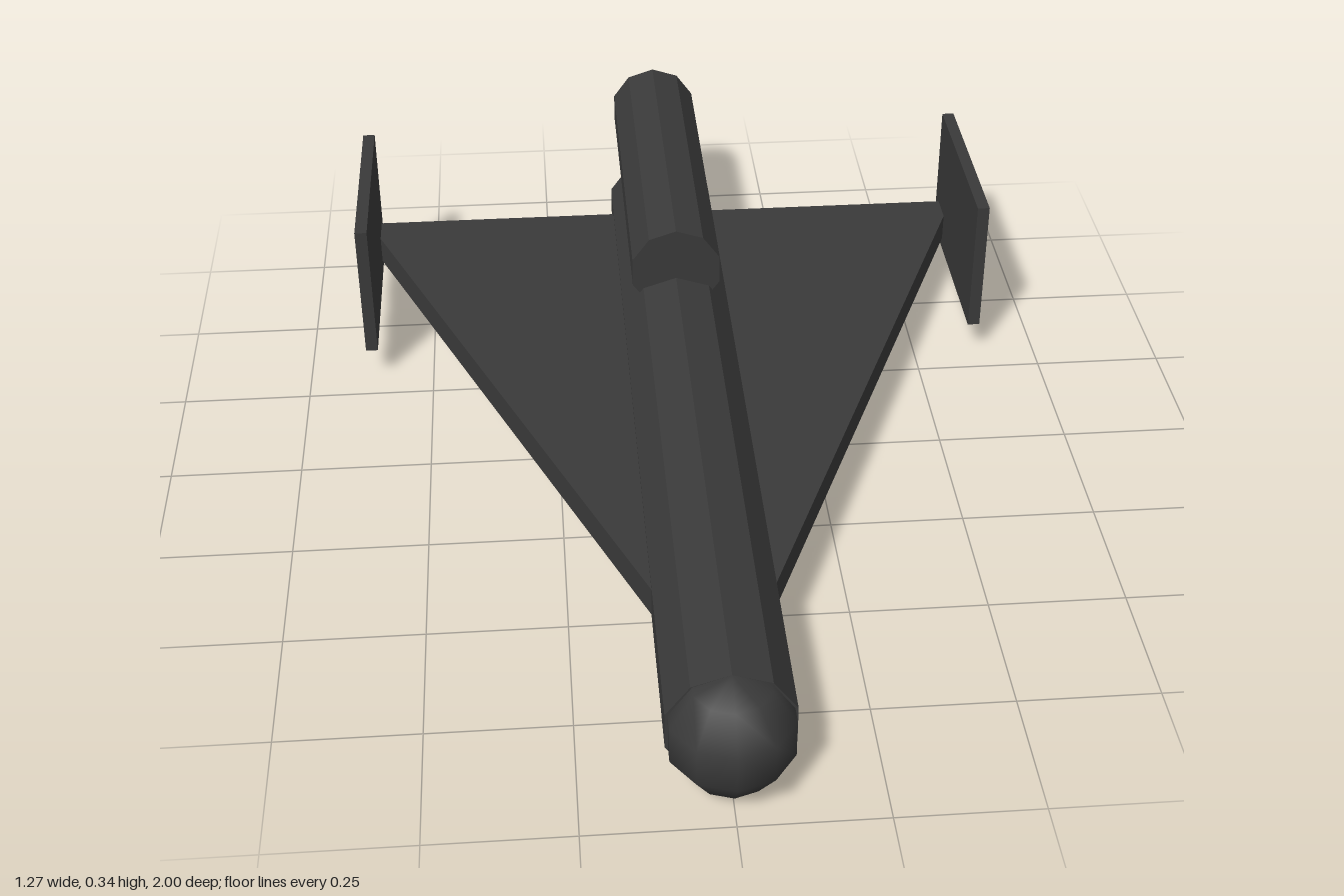
import * as THREE from 'three';

export function createModel() {
  const group = new THREE.Group();
  group.name = 'rocketGlider';
  const darkGrey = new THREE.MeshStandardMaterial({ color: 0x3a3a3a, flatShading: true });
  darkGrey.name = 'darkGrey';
  const smoothGrey = darkGrey.clone();
  smoothGrey.flatShading = false;

  const add = (name, geometry, x, y, z, material = darkGrey) => {
    const mesh = new THREE.Mesh(geometry, material);
    mesh.name = name;
    mesh.position.set(x, y, z);
    group.add(mesh);
  };

  // Ten-sided tube lying along z, with an edge at the top and bottom
  const tube = (name, radius, y, back, front) => add(
    name,
    new THREE.CylinderGeometry(radius, radius, front - back, 10).rotateX(Math.PI / 2),
    0, y, (front + back) / 2
  );

  // Fuselage, and the engine sunk into its back
  tube('fuselage', 0.1125, 0.1125, -0.79, 0.893);
  tube('engine', 0.092, 0.241, -1, -0.285);

  // Rounded nose, one column of vertices pointing forward
  add('nose', new THREE.SphereGeometry(0.1125, 10, 5).rotateY(Math.PI / 2), 0, 0.1125, 0.893, smoothGrey);

  // Delta wing: a flat triangle through the fuselage (shape y becomes -z)
  const plan = new THREE.Shape([
    new THREE.Vector2(0, -0.834),
    new THREE.Vector2(0.637, 0.692),
    new THREE.Vector2(-0.637, 0.692),
  ]);
  const wing = new THREE.ExtrudeGeometry(plan, { depth: 0.056, bevelEnabled: false });
  add('deltaWing', wing.rotateX(-Math.PI / 2), 0, 0.085, 0);

  // Upright fins at the wing tips
  for (const side of [1, -1]) {
    add(side > 0 ? 'leftFin' : 'rightFin', new THREE.BoxGeometry(0.024, 0.278, 0.408), side * 0.622, 0.203, -0.516);
  }
  return group;
}
